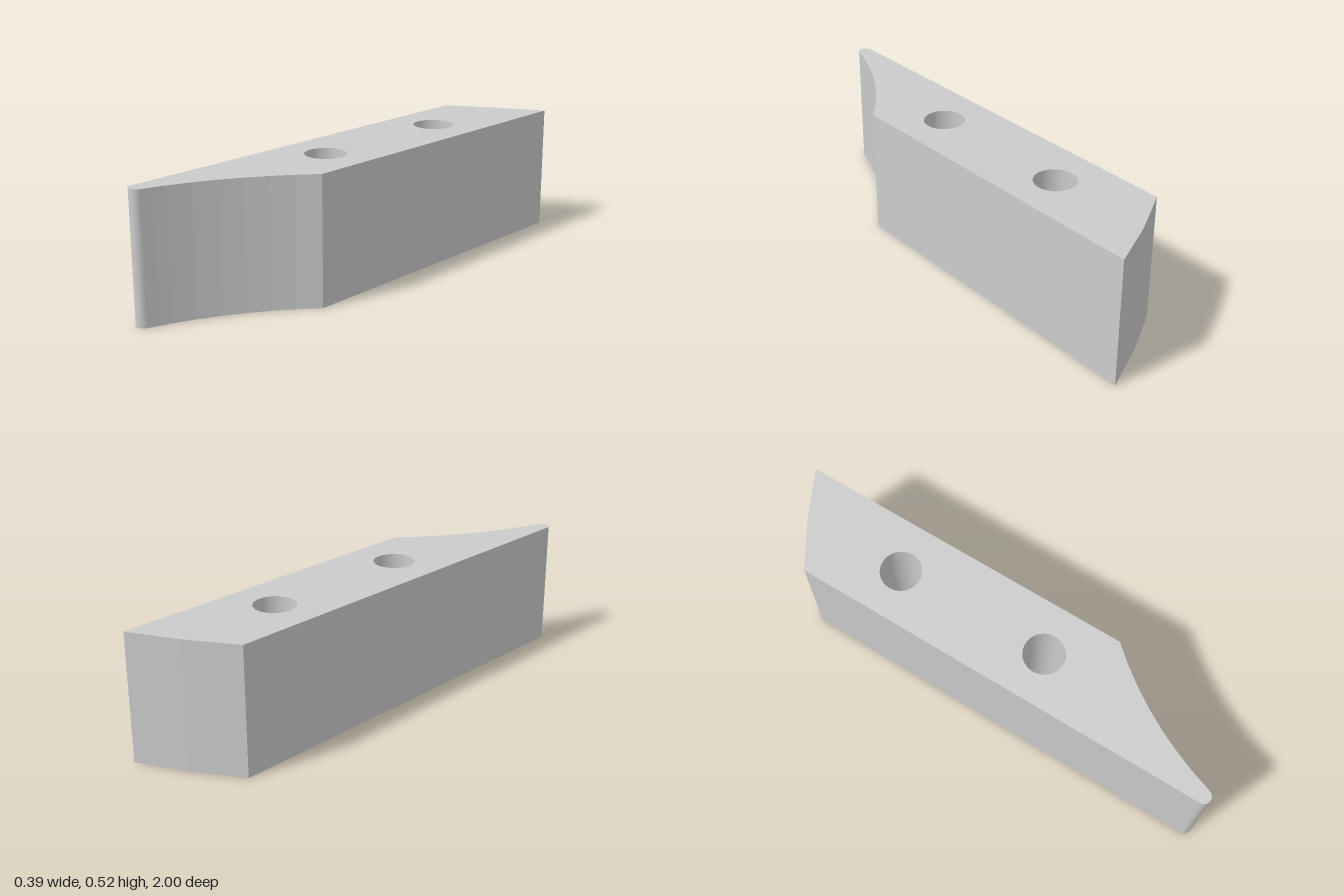
import * as THREE from 'three';
import { toCreasedNormals } from 'three/addons/utils/BufferGeometryUtils.js';

const HEIGHT = 0.523, HALF = 0.195;

// Plan outline: shape x is model x, shape y is model z
function bladeOutline() {
  const shape = new THREE.Shape();
  // shallow two-facet back end and straight left side
  shape.moveTo(-HALF, -0.785);
  shape.lineTo(0, -0.904);
  shape.lineTo(HALF, -1);
  shape.lineTo(HALF, 0.41);
  // concave faceted front
  const hollow = new THREE.QuadraticBezierCurve(
    new THREE.Vector2(HALF, 0.41), new THREE.Vector2(-0.035, 0.658), new THREE.Vector2(-0.136, 0.979));
  hollow.getPoints(7).slice(1).forEach(p => shape.lineTo(p.x, p.y));
  // rounded tip
  shape.absarc(-0.165, 0.97, 0.03, 0.307, Math.PI, false);
  shape.closePath();
  // through holes
  for (const z of [-0.461, 0.191]) {
    const hole = new THREE.Path();
    hole.absarc(0, z, 0.083, 0, Math.PI * 2, true);
    shape.holes.push(hole);
  }
  return shape;
}

export function createModel() {
  const group = new THREE.Group();
  let geometry = new THREE.ExtrudeGeometry(bladeOutline(), {
    depth: HEIGHT, bevelEnabled: false, curveSegments: 80,
  });
  // lay the outline flat, standing on y = 0
  geometry.rotateX(Math.PI / 2).translate(0, HEIGHT, 0);
  // holes and tip smooth, hollow facets crisp
  geometry = toCreasedNormals(geometry, 0.045);
  const block = new THREE.Mesh(geometry, new THREE.MeshStandardMaterial({ color: 0xcccccc }));
  block.name = 'drilledBlock';
  group.add(block);
  return group;
}
